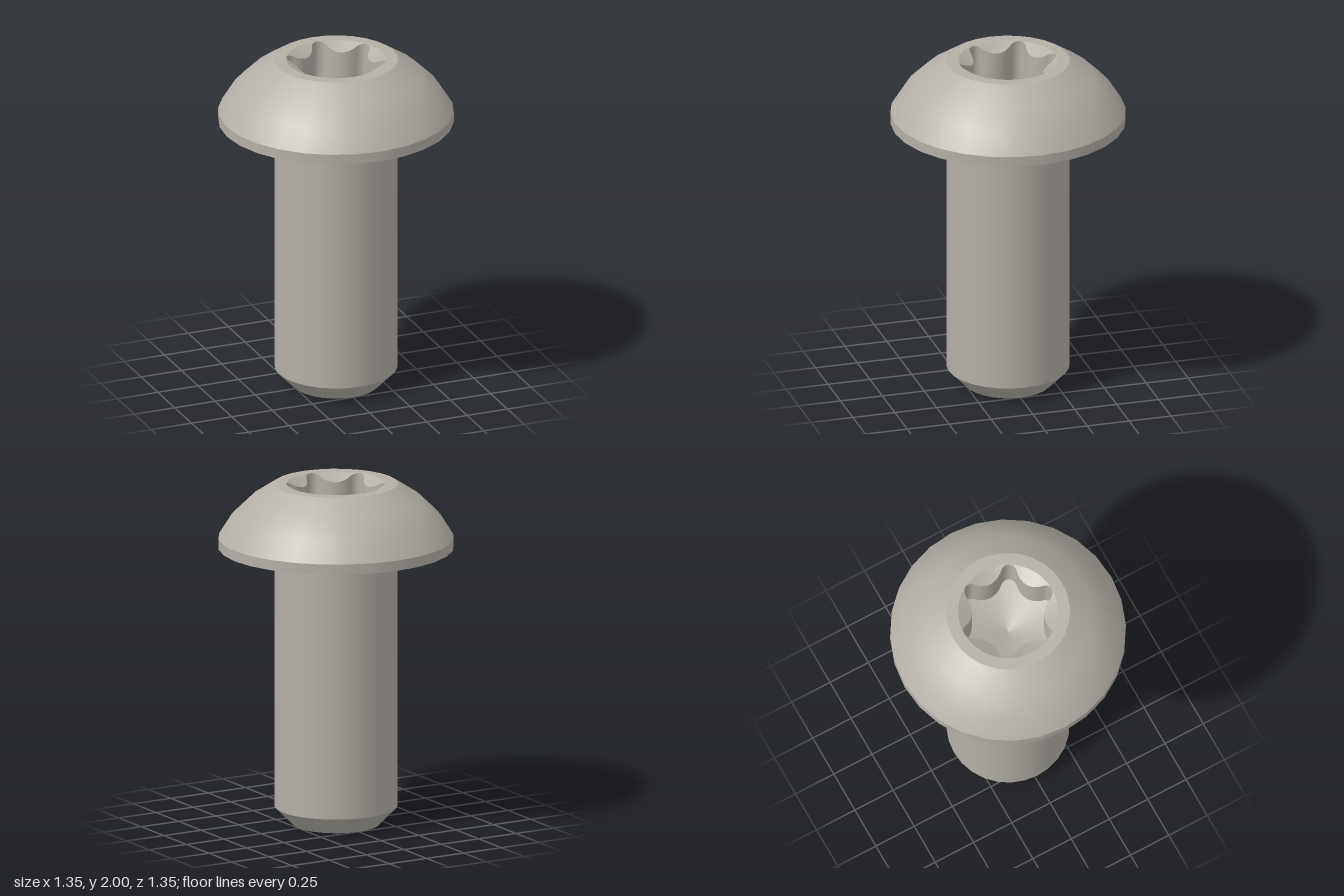
import * as THREE from 'three';

const SIDES = 28;
const TOP = 2;
const RIM = 0.285; // socket opening radius
const steel = new THREE.MeshStandardMaterial({ color: 0xb4b0a8 });
steel.name = 'steel';

function add(group, name, geometry) {
  const mesh = new THREE.Mesh(geometry, steel);
  mesh.name = name;
  group.add(mesh);
}

// Surface of revolution; separate calls keep creases sharp
function turned(group, name, profile) {
  const points = profile.map(([r, y]) => new THREE.Vector2(r, y));
  add(group, name, new THREE.LatheGeometry(points, SIDES));
}

// Closed band joining two loops of points, facing up or inwards
function band(outer, inner) {
  const n = outer.length;
  const index = [];
  for (let i = 0; i < n; i++) {
    const j = (i + 1) % n;
    index.push(i, j, n + j, i, n + j, n + i);
  }
  const geometry = new THREE.BufferGeometry().setFromPoints([...outer, ...inner]);
  geometry.setIndex(index);
  geometry.computeVertexNormals();
  return geometry;
}

// Six-lobed outline made of tangent arcs
function lobedOutline() {
  const points = [];
  const arc = (axis, distance, radius, from, to, steps) => {
    for (let i = 0; i < steps; i++) {
      const a = axis + THREE.MathUtils.degToRad(from + ((to - from) * i) / steps);
      points.push(new THREE.Vector2(
        distance * Math.cos(axis) + radius * Math.cos(a),
        distance * Math.sin(axis) + radius * Math.sin(a)
      ));
    }
  };
  for (let k = 0; k < 6; k++) {
    const axis = (k * Math.PI) / 3;
    arc(axis, 0.3366, 0.1296, 222.4, 137.6, 8); // inward bulge
    arc(axis + Math.PI / 6, 0.238, 0.047, -72.4, 72.4, 8); // lobe tip
  }
  return points;
}

export function createModel() {
  const model = new THREE.Group();
  model.name = 'buttonHeadScrew';

  // Shank
  turned(model, 'shankEnd', [[0, 0], [0.25, 0]]);
  turned(model, 'shankChamfer', [[0.25, 0], [0.353, 0.105]]);
  turned(model, 'shank', [[0.353, 0.105], [0.353, 1.58]]);
  const fillet = [];
  for (let i = 0; i <= 5; i++) {
    const a = (i / 5) * Math.PI / 2;
    fillet.push([0.398 - 0.045 * Math.cos(a), 1.58 + 0.045 * Math.sin(a)]);
  }
  turned(model, 'neckFillet', fillet);

  // Head
  turned(model, 'headUnderside', [[0.398, 1.625], [0.675, 1.625]]);
  turned(model, 'headEdge', [[0.675, 1.625], [0.675, 1.685]]);
  turned(model, 'headDome', [[0.675, 1.685], [0.6, 1.805], [0.49, 1.912], [0.355, TOP]]);

  // Socket loops
  const outline = lobedOutline();
  const opening = outline.map((p) => p.clone().setLength(RIM));
  const lift = (p, y) => new THREE.Vector3(p.x, y, -p.y);
  const mouth = opening.map((p) => lift(p, TOP));
  const lip = outline.map((p) => lift(p, TOP - (RIM - p.length()) * 0.577));
  const apexY = 1.66;
  const base = outline.map((p) => lift(p, apexY + p.length() * 0.32));
  const apex = outline.map(() => new THREE.Vector3(0, apexY, 0));

  // Flat ring around the socket
  const corners = Array.from({ length: SIDES }, (_, i) => {
    const a = (i / SIDES) * Math.PI * 2;
    return new THREE.Vector2(0.355 * Math.cos(a), 0.355 * Math.sin(a));
  });
  const ring = new THREE.Shape(corners);
  ring.holes.push(new THREE.Path(opening));
  add(model, 'headTopRing', new THREE.ShapeGeometry(ring).rotateX(-Math.PI / 2).translate(0, TOP, 0));

  add(model, 'socketCountersink', band(mouth, lip));
  add(model, 'socketWall', band(lip, base));
  add(model, 'socketFloor', band(base, apex));

  return model;
}
